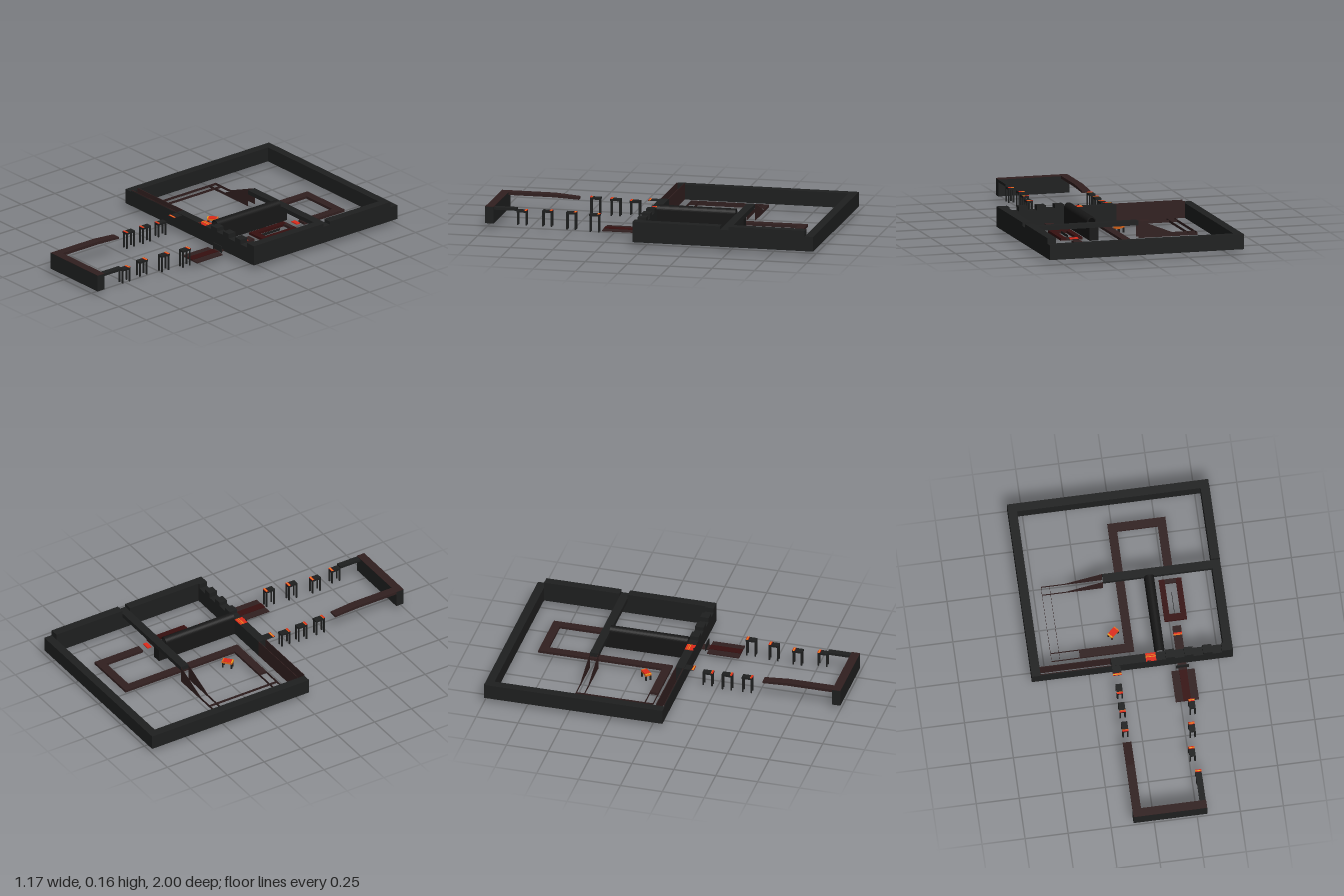
import * as THREE from 'three';

const mat = (name, color) => {
  const m = new THREE.MeshStandardMaterial({ color });
  m.name = name;
  return m;
};

export function createModel() {
  const root = new THREE.Group();
  root.name = 'courtyardCourse';
  const charcoal = mat('charcoal', 0x1e1f1f);
  const black = mat('black', 0x171717);
  const brown = mat('brown', 0x311f1f);
  const maroon = mat('maroon', 0x360f0f);
  const red = mat('red', 0xe02a1a);
  const orange = mat('orange', 0xf5701c);
  const yellow = mat('yellow', 0xf0b020);

  // Box from its min and max corners
  function box(name, x0, x1, y0, y1, z0, z1, m, parent = root) {
    const mesh = new THREE.Mesh(new THREE.BoxGeometry(x1 - x0, y1 - y0, z1 - z0), m);
    mesh.position.set((x0 + x1) / 2, (y0 + y1) / 2, (z0 + z1) / 2);
    mesh.name = name;
    parent.add(mesh);
  }
  // Flat outline extruded to depth, sharp edged
  function extrude(name, pts, depth, m) {
    const s = new THREE.Shape(pts.map(p => new THREE.Vector2(p[0], p[1])));
    const mesh = new THREE.Mesh(new THREE.ExtrudeGeometry(s, { depth, bevelEnabled: false }), m);
    mesh.name = name;
    root.add(mesh);
    return mesh;
  }

  // Outer courtyard walls
  const W = 0.584, B = 0.03;
  box('backWall', -W, W, B, 0.117, -1, -0.95, charcoal);
  box('rightWall', -W, -0.532, B, 0.117, -0.95, 0.066, charcoal);
  box('leftWallBack', 0.532, W, B, 0.15, -0.95, -0.5, charcoal);
  box('leftWallJoint', 0.532, W, B, 0.13, -0.5, -0.45, charcoal);
  box('leftWallFront', 0.532, W, B, 0.15, -0.45, 0.066, charcoal);

  // Front wall: hollow open-topped run, then a solid run with battlements
  box('frontPlate', -0.532, -0.12, B, 0.124, 0.063, 0.066, charcoal);
  box('frontPlateLining', -0.532, -0.12, B, 0.128, 0.06, 0.063, brown);
  box('rearPlate', -0.532, -0.12, B, 0.128, 0.015, 0.019, brown);
  box('frontWall', -0.12, 0.355, B, 0.128, 0.015, 0.066, charcoal);
  box('frontWallEnd', 0.355, 0.532, B, 0.122, 0.015, 0.066, charcoal);
  for (let i = 0; i < 4; i++) {
    const x = 0.195 + i * 0.1085;
    box('battlement', x, x + 0.052, 0.12, 0.15, 0.015, 0.066, charcoal);
  }
  // Glowing panel set in the wall top, with a small fin
  box('glowPanel', 0.08, 0.14, 0.128, 0.13, 0.015, 0.066, red);
  box('glowStrip', 0.08, 0.14, 0.13, 0.131, 0.025, 0.03, orange);
  box('glowStrip', 0.08, 0.14, 0.13, 0.131, 0.036, 0.04, yellow);
  extrude('panelFin', [[0.088, 0.128], [0.112, 0.128], [0.088, 0.138]], 0.003, charcoal).position.z = 0.063;

  // Middle beam and its post
  box('middleBeam', -0.1, 0.532, 0.105, 0.13, -0.5, -0.45, charcoal);
  box('beamPost', 0.14, 0.194, B, 0.105, -0.5, -0.45, black);

  // Hollow arched tunnel
  const arch = new THREE.Shape();
  arch.moveTo(0.14, B);
  arch.lineTo(0.147, B);
  arch.lineTo(0.147, 0.133);
  arch.absarc(0.167, 0.133, 0.02, Math.PI, 0, true);
  arch.lineTo(0.187, B);
  arch.lineTo(0.194, B);
  arch.lineTo(0.194, 0.133);
  arch.absarc(0.167, 0.133, 0.027, 0, Math.PI, false);
  arch.lineTo(0.14, B);
  const tunnel = new THREE.Mesh(
    new THREE.ExtrudeGeometry(arch, { depth: 0.465, bevelEnabled: false, curveSegments: 12 }), black);
  tunnel.position.z = -0.45;
  tunnel.name = 'archTunnel';
  root.add(tunnel);

  // Low path through the courtyard
  const P = 0.045;
  box('pathLong', -0.025, 0.025, B, P, -0.83, -0.04, brown);
  box('pathBack', 0.025, 0.312, B, P, -0.83, -0.78, brown);
  box('pathReturn', 0.262, 0.312, B, P, -0.78, -0.53, brown);
  box('pathFront', -0.29, -0.025, B, P, -0.09, -0.04, brown);

  // Open-topped rails of the rest of the loop
  const t = 0.001;
  for (const z of [-0.09, -0.04 - t]) box('frontRail', -0.455, -0.29, B, P, z, z + t, brown);
  for (const x of [-0.455, -0.405 - t]) box('sideRail', x, x + t, B, P, -0.5, -0.04, brown);
  // Ramp sides rising to the beam
  const rampSide = [[-0.455, B], [-0.1, B], [-0.1, 0.13], [-0.315, P], [-0.455, P]];
  for (const z of [-0.5, -0.45 - t]) extrude('rampSide', rampSide, t, brown).position.z = z;

  // Framed pit with a thin blade
  box('pitFrameLeft', 0.32, 0.353, B, P, -0.45, -0.195, maroon);
  box('pitFrameRight', 0.222, 0.255, B, P, -0.45, -0.195, maroon);
  box('pitFrameBack', 0.255, 0.32, B, P, -0.45, -0.425, brown);
  box('pitFrameFront', 0.255, 0.32, B, P, -0.235, -0.195, maroon);
  box('pitBlade', 0.285, 0.287, B, P, -0.37, -0.235, charcoal);
  box('pitGlow', 0.262, 0.312, 0.045, 0.051, -0.5, -0.475, red);

  // Path from the pit out to the landing
  box('gatePath', 0.262, 0.312, B, P, -0.16, 0.015, brown);
  box('gateStripe', 0.262, 0.312, P, 0.048, -0.118, -0.109, red);
  box('gateStripe', 0.262, 0.312, P, 0.048, -0.109, -0.102, orange);
  box('gateStep', 0.262, 0.312, B, 0.036, 0.066, 0.11, brown);
  box('gateBar', 0.25, 0.325, B, 0.07, 0.09, 0.095, charcoal);
  box('landing', 0.22, 0.355, B, 0.036, 0.11, 0.3, brown);
  box('landingStrip', 0.265, 0.31, 0.036, 0.039, 0.11, 0.3, maroon);

  // Thin ledge, outer walkway and end wall
  box('ledge', -0.12, -0.07, 0.122, 0.125, 0.066, 0.125, charcoal);
  box('ledgeStripe', -0.12, -0.07, 0.125, 0.126, 0.111, 0.115, red);
  box('ledgeStripe', -0.12, -0.07, 0.125, 0.126, 0.115, 0.121, yellow);
  box('ledgeStripe', -0.12, -0.07, 0.125, 0.126, 0.121, 0.125, red);
  box('endWall', -0.12, 0.308, B, 0.128, 0.95, 1, charcoal);
  box('endWallTop', -0.12, 0.308, 0.128, 0.13, 0.95, 1, brown);
  const walk = extrude('walkway', [[-0.95, 0.113], [-0.68, 0.113], [-0.535, 0.106],
    [-0.535, 0.118], [-0.68, 0.13], [-0.95, 0.13]], 0.05, brown);
  walk.rotation.y = Math.PI / 2;
  walk.position.x = -0.12;
  box('walkwayStub', 0.27, 0.306, 0.112, 0.127, 0.815, 0.95, charcoal);

  // Four-legged stepping tables with glowing stripes: [from, to, material]
  function table(x, z, top, bottom, len, dir, stripes, turn = 0, topMat = charcoal) {
    const g = new THREE.Group();
    g.name = 'steppingTable';
    const hw = 0.018, hl = len / 2, th = 0.012;
    box('tableTop', -hw, hw, top - th, top, -hl, hl, topMat, g);
    for (const [a, b, m] of stripes) {
      const z0 = dir * (hl - a), z1 = dir * (hl - b);
      box('tableStripe', -hw, hw, top, top + 0.002, Math.min(z0, z1), Math.max(z0, z1), m, g);
    }
    for (const sx of [-1, 1]) for (const sz of [-1, 1]) {
      const cx = sx * (hw - 0.004), cz = sz * (hl - 0.005);
      box('tableLeg', cx - 0.004, cx + 0.004, bottom, top - th, cz - 0.004, cz + 0.004, charcoal, g);
    }
    g.position.set(x, 0, z);
    g.rotation.y = turn;
    root.add(g);
  }
  const glowRed = [[0, 0.009, red], [0.009, 0.013, orange]];
  const glowBright = [[0, 0.005, red], [0.005, 0.01, yellow], [0.01, 0.015, red]];
  for (const [z, top, low] of [[0.205, 0.115, 0.03], [0.32, 0.12, 0.02], [0.44, 0.122, 0.022]])
    table(-0.095, z, top, low, 0.062, 1, glowRed);
  for (const [x, z, top, low] of [[0.307, 0.352, 0.12, 0.014], [0.288, 0.493, 0.12, 0.018],
    [0.268, 0.64, 0.117, 0.024], [0.288, 0.785, 0.115, 0.028]])
    table(x, z, top, low, 0.06, -1, glowBright);
  // Tilted glowing table inside the courtyard
  table(-0.08, -0.17, 0.042, 0, 0.062, 1,
    [[0, 0.007, yellow], [0.007, 0.055, red], [0.055, 0.062, orange]], -0.85, orange);

  return root;
}
